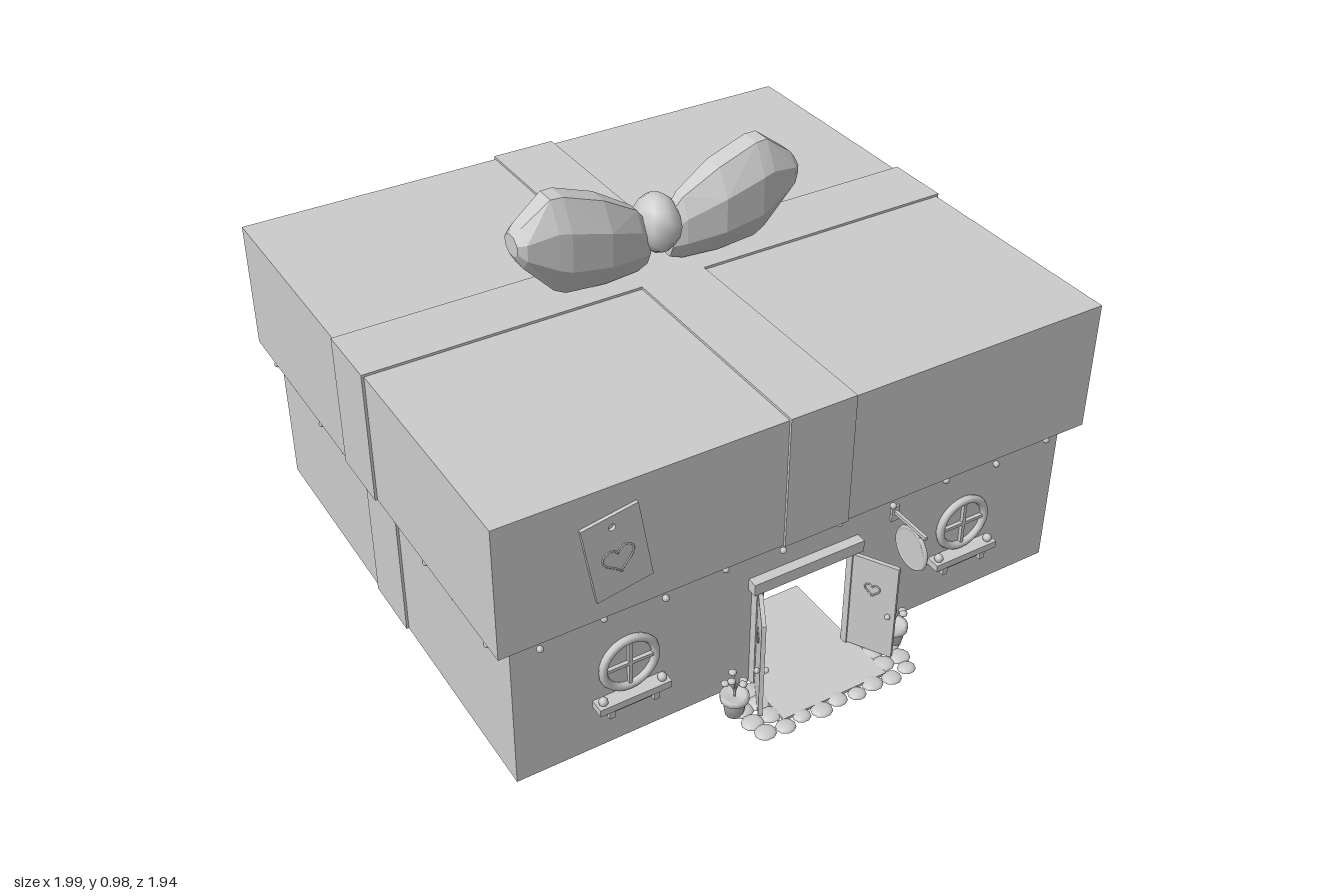
import * as THREE from 'three';
import { ConvexGeometry } from 'three/addons/geometries/ConvexGeometry.js';

const mat = new THREE.MeshStandardMaterial({ color: 0xcccccc });
mat.name = 'light grey';

const BX = 0.718, BZ = 0.626, LX = 0.758, LZ = 0.66; // half sizes of body and lid
const Y0 = 0.395, Y1 = 0.722;                        // lid bottom and top

function add(parent, name, geo, x = 0, y = 0, z = 0) {
  const m = new THREE.Mesh(geo, mat);
  m.name = name;
  m.position.set(x, y, z);
  parent.add(m);
  return m;
}
const box = (p, name, w, h, d, x, y, z) => add(p, name, new THREE.BoxGeometry(w, h, d), x, y, z);
function group(parent, name, x = 0, y = 0, z = 0) {
  const g = new THREE.Group();
  g.name = name;
  g.position.set(x, y, z);
  parent.add(g);
  return g;
}
const polygon = (pts) => new THREE.Shape(pts.map(([x, y]) => new THREE.Vector2(x, y)));
const rect = (a, b) => [[-a, -b], [a, -b], [a, b], [-a, b]];

// Heart outline as a thin tube
function heart(parent, size, x, y, z) {
  const pts = [];
  for (let i = 0; i < 20; i++) {
    const t = i / 20 * Math.PI * 2;
    pts.push(new THREE.Vector3(Math.sin(t) ** 3 * size,
      (13 * Math.cos(t) - 5 * Math.cos(2 * t) - 2 * Math.cos(3 * t) - Math.cos(4 * t)) / 16 * size, 0));
  }
  return add(parent, 'heart', new THREE.TubeGeometry(new THREE.CatmullRomCurve3(pts, true), 40, 0.002, 5, true), x, y, z);
}

function buildBody(g) {
  const t = 0.008;
  for (const s of [-1, 1]) {
    box(g, 'sideWall', t, Y0, BZ * 2, s * (BX - t / 2), Y0 / 2, 0);
    box(g, 'sideBodyRibbon', 0.006, Y0, 0.165, s * (BX + 0.003), Y0 / 2, -0.005);
  }
  box(g, 'backWall', BX * 2, Y0, t, 0, Y0 / 2, -BZ + t / 2);
  box(g, 'backBodyRibbon', 0.165, Y0, 0.006, 0, Y0 / 2, -BZ - 0.003);
  // Front wall with a notch for the doorway
  const d = 0.12, h = 0.275;
  add(g, 'frontWall', new THREE.ShapeGeometry(polygon([
    [-BX, 0], [-d, 0], [-d, h], [d, h], [d, 0], [BX, 0], [BX, Y0], [-BX, Y0]])), 0, 0, BZ);
}

function buildLid(g) {
  const ring = polygon(rect(LX, LZ));
  ring.holes.push(new THREE.Path(rect(0.7, 0.605).reverse().map(([x, y]) => new THREE.Vector2(x, y))));
  const geo = new THREE.ExtrudeGeometry(ring, { depth: Y1 - 0.01 - Y0, bevelEnabled: false });
  add(g, 'lidWalls', geo.rotateX(-Math.PI / 2), 0, Y0, 0);
  box(g, 'lidTop', LX * 2, 0.01, LZ * 2, 0, Y1 - 0.005, 0);
  // Ribbons crossing over the lid
  const t = 0.006, w = 0.165, h = Y1 - Y0 + t, y = Y0 + h / 2;
  box(g, 'lidRibbonLong', LX * 2, t, w, 0, Y1 + t / 2, -0.008);
  box(g, 'lidRibbonShort', w, t, LZ * 2, 0, Y1 + t / 2, 0);
  for (const s of [-1, 1]) {
    box(g, 'lidRibbonSide', t, h, w, s * (LX + t / 2), y, -0.008);
    box(g, 'lidRibbonEnd', w, h, t, 0, y, s * (LZ + t / 2));
  }
  // Small bulbs strung under the overhang
  const bulb = new THREE.SphereGeometry(0.008, 8, 6);
  for (const s of [-1, 1]) {
    for (let i = 0; i < 10; i++)
      add(g, 'bulb', bulb, -0.66 + i * 0.1467, 0.368 + (i % 2) * 0.012, s * (BZ + 0.022));
    for (let i = 0; i < 9; i++)
      add(g, 'bulb', bulb, s * (BX + 0.026), 0.368 + (i % 2) * 0.012, -0.58 + i * 0.145);
  }
}

function buildBow(g) {
  // Cross-sections of a loop: x, bottom, top, half thickness
  const sections = [[0.03, 0.74, 0.85, 0.025], [0.06, 0.732, 0.89, 0.04], [0.15, 0.732, 0.945, 0.065],
    [0.25, 0.74, 0.982, 0.065], [0.28, 0.755, 0.983, 0.06], [0.35, 0.83, 0.93, 0.045], [0.367, 0.86, 0.91, 0.03]];
  for (const s of [-1, 1]) {
    const pts = [];
    for (const [x, lo, hi, d] of sections) {
      const mid = (lo + hi) / 2, q = (hi - lo) * 0.2;
      for (const k of [-1, 1])
        pts.push([x, lo, k * d * 0.4], [x, hi, k * d * 0.4], [x, mid - q, k * d], [x, mid + q, k * d]);
    }
    add(g, 'bowLoop', new ConvexGeometry(pts.map(([x, y, z]) => new THREE.Vector3(x * s, y, z))));
  }
  add(g, 'bowKnot', new THREE.SphereGeometry(1, 8, 8), 0, 0.835, 0).scale.set(0.055, 0.072, 0.07);
}

function buildWindow(g, x) {
  const w = group(g, 'window', x, 0.215, BZ);
  add(w, 'windowRim', new THREE.TorusGeometry(0.064, 0.01, 8, 28), 0, 0, 0.006);
  add(w, 'windowPane', new THREE.CircleGeometry(0.06, 28), 0, 0, 0.003);
  box(w, 'windowBar', 0.122, 0.008, 0.012, 0, 0, 0.006);
  box(w, 'windowBar', 0.008, 0.122, 0.012, 0, 0, 0.006);
  box(w, 'windowSill', 0.175, 0.018, 0.035, 0, -0.083, 0.0175);
  box(w, 'sillBoard', 0.13, 0.014, 0.02, 0, -0.104, 0.01);
  for (const s of [-1, 1]) {
    box(w, 'sillBracket', 0.014, 0.026, 0.028, s * 0.055, -0.105, 0.014);
    add(w, 'sillFlower', new THREE.SphereGeometry(0.011, 8, 6), s * 0.072, -0.067, 0.02);
  }
}

function buildDoorway(g) {
  const d = group(g, 'doorway', 0, 0, BZ);
  box(d, 'doorLintel', 0.29, 0.03, 0.025, 0, 0.288, 0.0125);
  for (const s of [-1, 1]) {
    box(d, 'doorPost', 0.018, 0.275, 0.02, s * 0.127, 0.1375, 0.01);
    // Open leaf, hinged at the post
    const leaf = group(d, 'doorLeaf', s * 0.122, 0, 0.012);
    leaf.rotation.y = s > 0 ? -1.05 : Math.PI + 1.05;
    box(leaf, 'doorPanel', 0.115, 0.26, 0.01, 0.0575, 0.14, 0);
    for (const k of [-1, 1]) {
      heart(leaf, 0.018, 0.0575, 0.19, k * 0.006);
      add(leaf, 'doorKnob', new THREE.SphereGeometry(0.007, 8, 6), 0.1, 0.13, k * 0.01);
    }
  }
  box(d, 'threshold', 0.27, 0.006, 0.3, 0, 0.003, -0.05);
}

function buildPorch(g) {
  const p = group(g, 'porch', 0, 0, BZ);
  box(p, 'porchSlab', 0.28, 0.007, 0.13, 0, 0.0035, 0.08);
  // Flat round stones around the slab
  const stone = new THREE.SphereGeometry(1, 10, 6, 0, Math.PI * 2, 0, Math.PI / 2);
  const put = (x, z, r) => add(p, 'pavingStone', stone, x, 0, z).scale.set(r, 0.01, r * 0.9);
  for (let i = 0; i < 9; i++) put(-0.192 + i * 0.048, 0.152 + (i % 2) * 0.008, 0.026 - (i % 3) * 0.002);
  for (const s of [-1, 1])
    for (let i = 0; i < 6; i++) put(s * (0.155 + (i % 2) * 0.045), 0.03 + Math.floor(i / 2) * 0.042, 0.027);
}

function buildPot(g, x) {
  const p = group(g, 'flowerPot', x, 0, 0.692);
  const profile = [[0, 0], [0.021, 0], [0.028, 0.042], [0.033, 0.042], [0.033, 0.055], [0.025, 0.055], [0, 0.048]];
  add(p, 'pot', new THREE.LatheGeometry(profile.map(([r, y]) => new THREE.Vector2(r, y)), 14));
  for (let i = 0; i < 5; i++) {
    const a = i * 1.257, r = 0.022, h = 0.085 + (i % 3) * 0.014;
    const tip = new THREE.Vector3(Math.cos(a) * r, h, Math.sin(a) * r);
    const curve = new THREE.QuadraticBezierCurve3(new THREE.Vector3(0, 0.045, 0), new THREE.Vector3(0, h, 0), tip);
    add(p, 'stem', new THREE.TubeGeometry(curve, 6, 0.002, 5));
    add(p, 'blossom', new THREE.SphereGeometry(0.01, 7, 5), tip.x, tip.y, tip.z).scale.y = 0.6;
  }
}

function buildSign(g) {
  const s = group(g, 'hangingSign', 0.243, 0, BZ);
  box(s, 'signArm', 0.008, 0.008, 0.115, 0, 0.33, 0.0575);
  box(s, 'signMount', 0.02, 0.04, 0.006, 0, 0.325, 0.003);
  for (const z of [0.045, 0.095]) box(s, 'signLink', 0.004, 0.022, 0.004, 0, 0.317, z);
  add(s, 'signBoard', new THREE.CylinderGeometry(0.05, 0.05, 0.008, 24).rotateZ(Math.PI / 2), 0, 0.272, 0.07);
  add(s, 'signRim', new THREE.TorusGeometry(0.05, 0.005, 6, 24).rotateY(Math.PI / 2), 0, 0.272, 0.07);
}

function buildTag(g) {
  const t = group(g, 'giftTag', -0.49, 0.557, LZ);
  t.rotation.z = 0.17;
  const shape = polygon(rect(0.066, 0.1));
  shape.holes.push(new THREE.Path().absarc(0, 0.072, 0.008, 0, Math.PI * 2, true));
  add(t, 'tagCard', new THREE.ExtrudeGeometry(shape, { depth: 0.008, bevelEnabled: false }));
  heart(t, 0.036, 0, -0.012, 0.009);
}

export function createModel() {
  const root = new THREE.Group();
  root.name = 'giftBoxHouse';
  const house = group(root, 'house');
  house.rotation.y = THREE.MathUtils.degToRad(34);
  buildBody(house);
  buildLid(house);
  buildBow(house);
  buildDoorway(house);
  buildPorch(house);
  for (const s of [-1, 1]) {
    buildWindow(house, s * 0.446);
    buildPot(house, s * 0.217);
  }
  buildSign(house);
  buildTag(house);
  return root;
}
